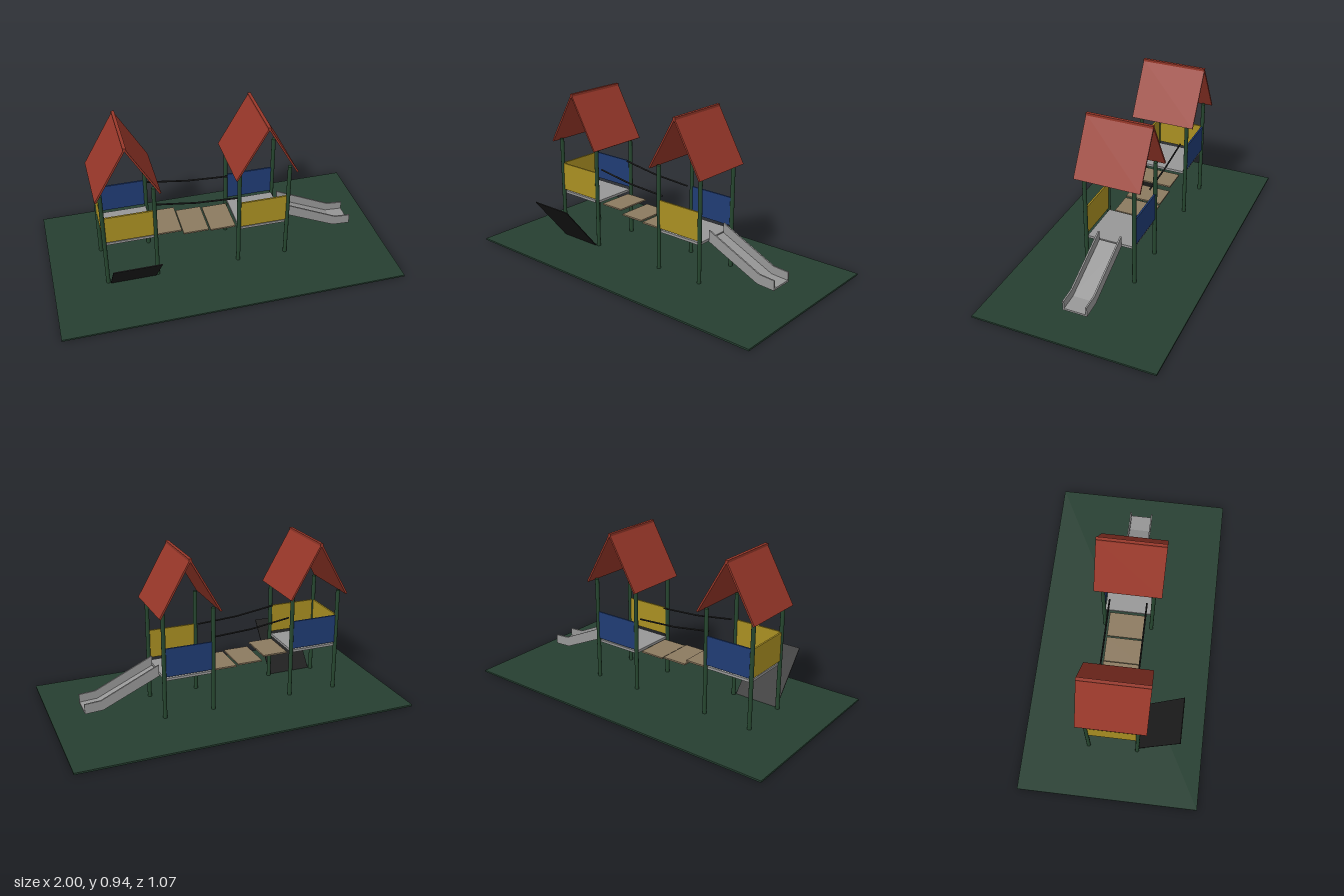
import * as THREE from 'three';

const paint = (name, color, side = THREE.FrontSide) => {
  const m = new THREE.MeshStandardMaterial({ color, side });
  m.name = name;
  return m;
};

export function createModel() {
  const turf = paint('turfGreen', 0x263f31);
  const green = paint('postGreen', 0x26462f);
  const red = paint('roofRed', 0x973729);
  const yellow = paint('panelYellow', 0xa98f22);
  const blue = paint('panelBlue', 0x203c74);
  const grey = paint('metalGrey', 0x979797);
  const wood = paint('plankBrown', 0x8c7a60);
  const black = paint('rubberBlack', 0x1b1b1b);

  const model = new THREE.Group();
  model.name = 'playground';

  const add = (parent, name, geometry, material, x = 0, y = 0, z = 0) => {
    const mesh = new THREE.Mesh(geometry, material);
    mesh.name = name;
    mesh.position.set(x, y, z);
    parent.add(mesh);
    return mesh;
  };
  const box = (parent, name, w, h, d, material, x, y, z) =>
    add(parent, name, new THREE.BoxGeometry(w, h, d), material, x, y, z);

  // Ground mat
  box(model, 'groundMat', 2, 0.01, 1.07, turf, 0, 0.005, 0);

  // Tower: four posts, deck, railings and a gable roof
  const HALF = 0.147;
  const tower = (name, x, deckY) => {
    const g = new THREE.Group();
    g.name = name;
    g.position.x = x;
    model.add(g);
    for (const sx of [-1, 1]) {
      for (const sz of [-1, 1]) {
        add(g, 'post', new THREE.CylinderGeometry(0.012, 0.012, 0.63, 16), green,
          sx * HALF, 0.32, sz * HALF);
      }
    }
    box(g, 'deck', 0.284, 0.015, 0.28, grey, 0, deckY - 0.0075, 0);
    const railY = deckY + 0.099;
    box(g, 'frontPanel', 0.275, 0.17, 0.01, yellow, 0, railY, HALF);
    box(g, 'backPanel', 0.275, 0.17, 0.01, blue, 0, railY, -HALF);

    // Roof slopes run from the ridge down to the eaves
    const run = 0.177, rise = 0.31;
    for (const s of [-1, 1]) {
      const slope = box(g, 'roofSlope', Math.hypot(run, rise), 0.01, 0.39, red,
        s * run / 2, 0.625 + rise / 2, 0);
      slope.rotation.z = -s * Math.atan2(rise, run);
    }
    box(g, 'ridgeCap', 0.018, 0.015, 0.39, red, 0, 0.936, 0);
    return { g, railY };
  };

  const left = tower('climbTower', -0.54, 0.295);
  box(left.g, 'endPanel', 0.01, 0.17, 0.275, yellow, -HALF, left.railY, 0);
  tower('slideTower', 0.243, 0.247);

  // Leaning climbing board
  const boardFoot = new THREE.Vector2(0.155, 0.005);
  const boardTop = new THREE.Vector2(0.39, 0.293);
  const board = box(model, 'climbingBoard', 0.27, 0.005, boardFoot.distanceTo(boardTop), black,
    -0.54, (boardFoot.y + boardTop.y) / 2, (boardFoot.x + boardTop.x) / 2);
  board.rotation.x = -Math.atan2(boardTop.y - boardFoot.y, boardTop.x - boardFoot.x);

  // Stepped bridge planks
  [[-0.31, 0.271], [-0.149, 0.244], [0.012, 0.237]].forEach(([x, y]) =>
    box(model, 'bridgePlank', 0.15, 0.009, 0.22, wood, x, y, 0));

  // Sagging rope handrails
  for (const z of [-0.11, 0.11]) {
    const path = new THREE.CurvePath();
    const pts = [[-0.39, 0.49], [-0.15, 0.455], [0.095, 0.441]]
      .map(([x, y]) => new THREE.Vector3(x, y, z));
    path.add(new THREE.LineCurve3(pts[0], pts[1]));
    path.add(new THREE.LineCurve3(pts[1], pts[2]));
    add(model, 'ropeHandrail', new THREE.TubeGeometry(path, 16, 0.005, 8), black);
  }

  // Slide: a bed between two side walls, extruded from side profiles
  const slide = new THREE.Group();
  slide.name = 'slide';
  model.add(slide);
  const profile = (name, points, width, z) => {
    const shape = new THREE.Shape(points.map(([x, y]) => new THREE.Vector2(x, y)));
    add(slide, name, new THREE.ExtrudeGeometry(shape, { depth: width, bevelEnabled: false }),
      grey, 0, 0, z - width / 2);
  };
  const bottom = [[0.395, 0.237], [0.725, 0.086], [0.83, 0.08]];
  const top = h => bottom.map(([x, y], i) => [x + (i === 1 ? h * 0.15 : 0), y + h]).reverse();
  profile('slideBed', [...bottom, ...top(0.011)], 0.125, 0);
  for (const z of [-0.067, 0.067]) {
    profile('slideWall',
      [...bottom, [0.83, 0.138], [0.735, 0.145], [0.395, 0.305]], 0.009, z);
  }

  return model;
}
